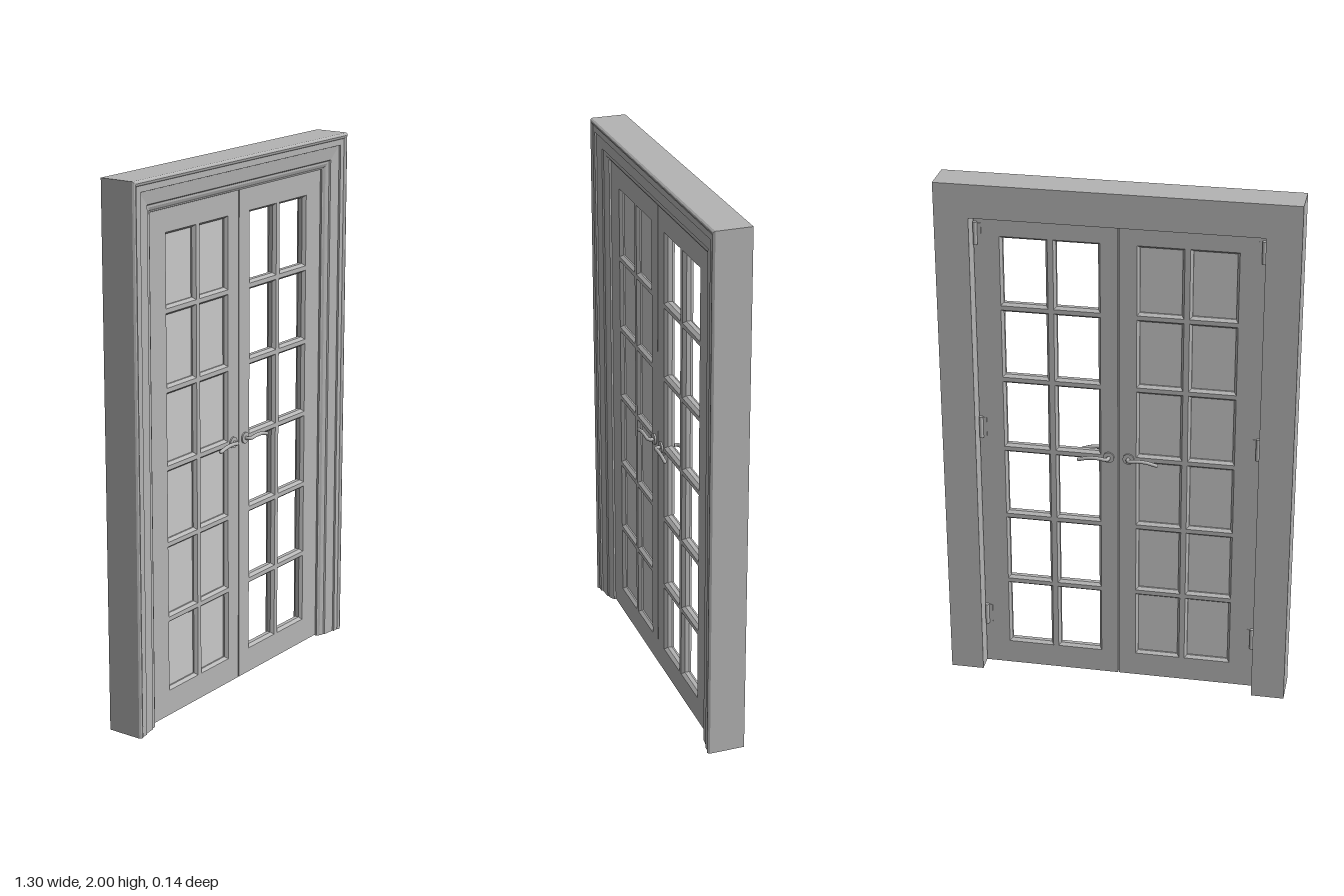
import * as THREE from 'three';

const paint = new THREE.MeshStandardMaterial({ color: 0xb4b4b4 });
paint.name = 'grey paint';
const glass = new THREE.MeshStandardMaterial({ color: 0xc8c8c8 });
glass.name = 'pale glass';

const DOOR_Z = 0.01, DOOR_T = 0.04; // middle plane and thickness of the door leaves
const COLUMNS = [[0.066, 0.236], [0.256, 0.43]];
const ROWS = Array.from({ length: 6 }, (_, i) => [0.1 + i * 0.2845, 0.368 + i * 0.2845]);

function add(parent, name, geometry, material = paint) {
  const mesh = new THREE.Mesh(geometry, material);
  mesh.name = name;
  parent.add(mesh);
  return mesh;
}

// Sweeps a profile of [inset, z] points along mitred corners; at(inset) lists the corners.
function mitredSweep(profile, at, closed) {
  const out = [];
  const rings = profile.map(([d, z]) => at(d).map(([x, y]) => new THREE.Vector3(x, y, z)));
  const tri = (a, b, c) => out.push(...a.toArray(), ...b.toArray(), ...c.toArray());
  const n = rings[0].length;
  for (let i = 0; i < (closed ? n : n - 1); i++) {
    for (let j = 0; j < profile.length - 1; j++) {
      const k = (i + 1) % n;
      const a = rings[j][i], b = rings[j + 1][i], c = rings[j + 1][k], d = rings[j][k];
      tri(a, b, c);
      tri(a, c, d);
    }
  }
  if (!closed) {
    // downward facing feet
    const flat = profile.slice(0, -1).map(([d, z]) => new THREE.Vector2(d, z));
    for (const face of THREE.ShapeUtils.triangulateShape(flat, [])) {
      for (const end of [0, n - 1]) {
        const [a, b, c] = face.map(j => rings[j][end]);
        const up = b.clone().sub(a).cross(c.clone().sub(a)).y > 0;
        if (up) tri(a, c, b); else tri(a, b, c);
      }
    }
  }
  const geometry = new THREE.BufferGeometry();
  geometry.setAttribute('position', new THREE.Float32BufferAttribute(out, 3));
  geometry.computeVertexNormals();
  return geometry;
}

function rectPath(path, x0, y0, x1, y1) {
  path.moveTo(x0, y0);
  path.lineTo(x1, y0);
  path.lineTo(x1, y1);
  path.lineTo(x0, y1);
  path.closePath();
  return path;
}

// Lever handle on one face of a leaf; side is the leaf, face is +1 front or -1 back
function makeHandle(side, face) {
  const handle = new THREE.Group();
  handle.name = 'leverHandle';
  const x = side * 0.037, y = 0.945, z = DOOR_Z + face * DOOR_T / 2;
  const rose = add(handle, 'handleRose', new THREE.CylinderGeometry(0.021, 0.021, 0.006, 24));
  rose.rotation.x = Math.PI / 2;
  rose.position.set(x, y, z + face * 0.003);
  const curve = new THREE.CatmullRomCurve3([
    [0, 0, 0], [0, 0, 0.018], [0.008, 0.001, 0.025], [0.035, 0.005, 0.027],
    [0.07, 0.004, 0.027], [0.108, -0.006, 0.025],
  ].map(([px, py, pz]) => new THREE.Vector3(x + side * px, y + py, z + face * pz)));
  add(handle, 'lever', new THREE.TubeGeometry(curve, 28, 0.007, 10));
  const tip = add(handle, 'leverTip', new THREE.SphereGeometry(0.007, 10, 8));
  tip.position.copy(curve.getPoint(1));
  return handle;
}

function makeLeaf(side) {
  const leaf = new THREE.Group();
  leaf.name = side > 0 ? 'leftDoor' : 'rightDoor';
  const span = (a, b) => side > 0 ? [a, b] : [-b, -a];

  // Slab with twelve openings
  const [x0, x1] = span(0.002, 0.523);
  const shape = rectPath(new THREE.Shape(), x0, 0.004, x1, 1.873);
  const h = DOOR_T / 2;
  for (const column of COLUMNS) {
    const [a, b] = span(...column);
    for (const [y0, y1] of ROWS) {
      shape.holes.push(rectPath(new THREE.Path(), a, y0, b, y1));
      // Sloped glazing bead around each opening
      const bead = mitredSweep(
        [[0, h], [0.009, 0.008], [0.009, -0.008], [0, -h]],
        d => [[a + d, y0 + d], [a + d, y1 - d], [b - d, y1 - d], [b - d, y0 + d]], true);
      add(leaf, 'glazingBead', bead).position.z = DOOR_Z;
      // Only the right leaf is glazed
      if (side < 0) {
        const pane = add(leaf, 'glassPane', new THREE.BoxGeometry(b - a - 0.014, y1 - y0 - 0.014, 0.005), glass);
        pane.position.set((a + b) / 2, (y0 + y1) / 2, DOOR_Z);
      }
    }
  }
  const slab = new THREE.ExtrudeGeometry(shape, { depth: DOOR_T, bevelEnabled: false });
  add(leaf, 'doorSlab', slab).position.z = DOOR_Z - h;

  leaf.add(makeHandle(side, 1), makeHandle(side, -1));

  // Hinges on the back
  for (const y of [0.22, 1.03, 1.8]) {
    const knuckle = add(leaf, 'hingeKnuckle', new THREE.CylinderGeometry(0.008, 0.008, 0.085, 12));
    knuckle.position.set(side * 0.515, y, DOOR_Z - h - 0.007);
    const plate = add(leaf, 'hingePlate', new THREE.BoxGeometry(0.02, 0.075, 0.004));
    plate.position.set(side * 0.505, y, DOOR_Z - h - 0.001);
  }
  return leaf;
}

export function createModel() {
  const model = new THREE.Group();
  model.name = 'doubleDoor';

  // Moulded frame: two legs and a head
  const profile = [
    [0, -0.07], [0, 0.062], [0.004, 0.068], [0.009, 0.07], [0.016, 0.068], [0.02, 0.064],
    [0.042, 0.064], [0.044, 0.058], [0.092, 0.053], [0.096, 0.048], [0.104, 0.048],
    [0.114, 0.044], [0.12, 0.038], [0.125, 0.036], [0.125, -0.07], [0, -0.07],
  ];
  add(model, 'doorFrame', mitredSweep(profile,
    d => [[-0.65 + d, 0], [-0.65 + d, 2 - d], [0.65 - d, 2 - d], [0.65 - d, 0]], false));

  model.add(makeLeaf(1), makeLeaf(-1));
  return model;
}
